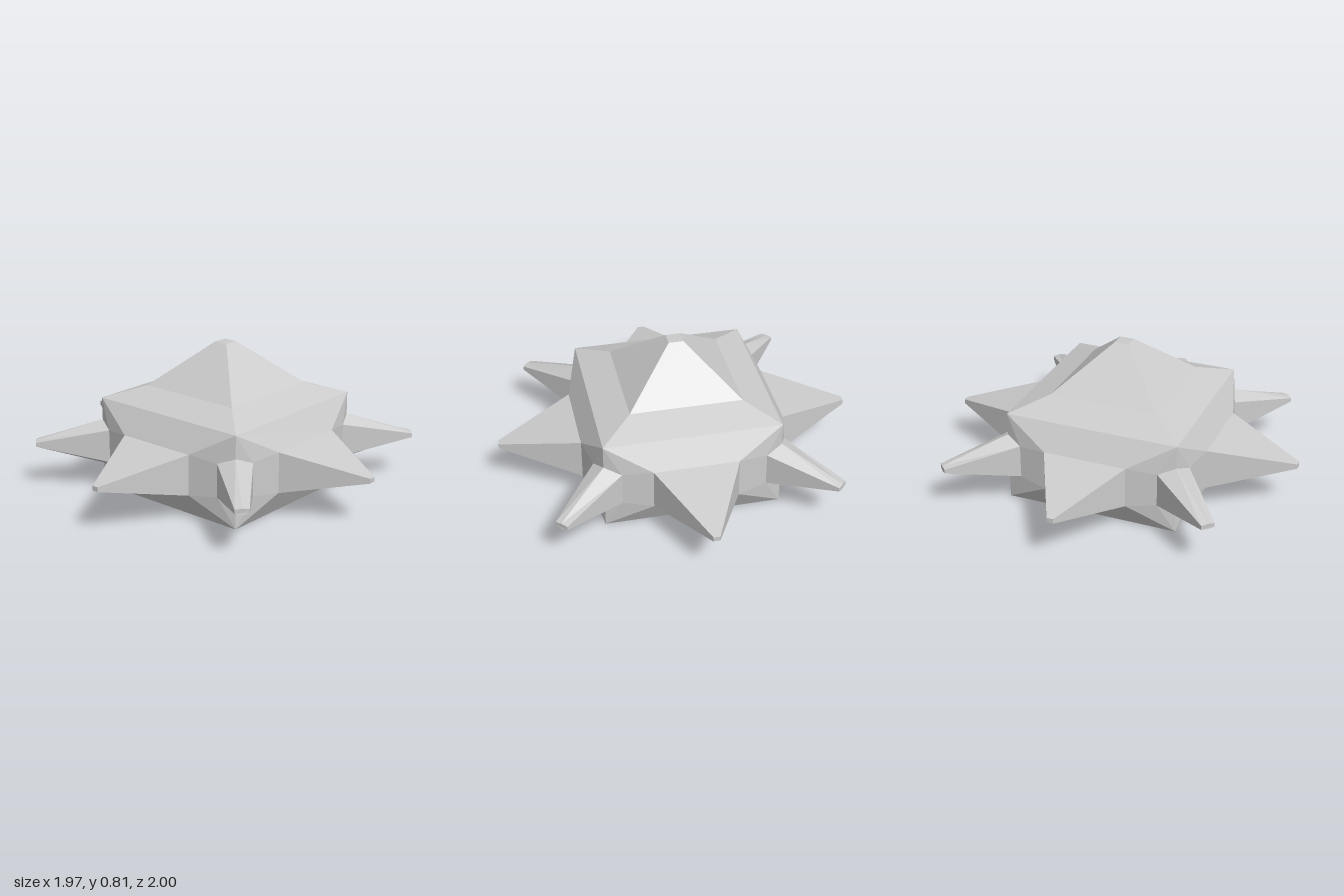
import * as THREE from 'three';

const MID = 0.257; // height of the spike axes

// Flat-shaded geometry from convex polygons (corners counter-clockwise from outside)
function polygons(list) {
  const pos = [];
  for (const p of list)
    for (let i = 1; i < p.length - 1; i++) pos.push(...p[0], ...p[i], ...p[i + 1]);
  const g = new THREE.BufferGeometry();
  g.setAttribute('position', new THREE.Float32BufferAttribute(pos, 3));
  g.computeVertexNormals();
  return g;
}

// Tapered spike from a base loop to a capped tip loop
function spike(base, tip) {
  const n = base.length;
  const sides = base.map((p, i) => [p, base[(i + 1) % n], tip[(i + 1) % n], tip[i]]);
  return polygons([...sides, tip]);
}

const flipX = ([x, y, z]) => [-x, y, z];
const rect = (x, y, z) => [[-x, MID - y, z], [x, MID - y, z], [x, MID + y, z], [-x, MID + y, z]];

export function createModel() {
  const model = new THREE.Group();
  const material = new THREE.MeshStandardMaterial({ color: 0xcccccc, flatShading: true });
  const add = (name, geometry, turn = 0) => {
    const mesh = new THREE.Mesh(geometry, material);
    mesh.name = name;
    mesh.rotation.y = turn * Math.PI / 2;
    model.add(mesh);
    return mesh;
  };

  // Wall corners: a = wide spike base, b and c = corner spike base, d = body corner
  const a0 = [0.23, 0.145, 0.56], a1 = [0.23, 0.37, 0.56];
  const b0 = [0.39, 0.165, 0.52], b1 = [0.39, 0.35, 0.52];
  const c0 = [0.48, 0.13, 0.48], c1 = [0.48, 0.385, 0.48];
  const d0 = [0.48, 0, 0.48], d1 = [0.48, 0.51, 0.48];
  const half = [[a0, b0, b1, a1], [a1, b1, d1], [b1, c1, d1], [a0, d0, b0], [b0, d0, c0]];
  const wall = polygons([
    ...half,
    ...half.map(p => p.map(flipX).reverse()),
    [a1, d1, flipX(d1), flipX(a1)],
    [flipX(a0), flipX(d0), d0, a0],
  ]);

  // Six-sided corner spike, symmetric about the diagonal
  const hexLoop = (ox, oz, oy, m, my) => [
    [ox, MID - oy, oz], [m, MID - my, m], [oz, MID - oy, ox],
    [oz, MID + oy, ox], [m, MID + my, m], [ox, MID + oy, oz],
  ];
  const cornerSpike = spike(
    hexLoop(0.39, 0.52, 0.0925, 0.48, 0.1275),
    hexLoop(0.715, 0.767, 0.011, 0.742, 0.016));

  // Four walls, each with a wide spike and a corner spike
  for (let i = 0; i < 4; i++) {
    add('wall', wall, i);
    const reach = i % 2 ? 0.985 : 1;
    add('wideSpike', spike([flipX(a0), a0, a1, flipX(a1)], rect(0.018, 0.013, reach)), i);
    add('cornerSpike', cornerSpike, i);
  }

  // Square roof: shallow skirt, then a blunt pyramid
  const frustum = (top, bottom, y0, y1, open) => new THREE.CylinderGeometry(
    top * Math.SQRT2, bottom * Math.SQRT2, y1 - y0, 4, 1, open, Math.PI / 4)
    .translate(0, (y0 + y1) / 2, 0);
  add('roofSkirt', frustum(0.305, 0.48, 0.51, 0.575, true));
  add('roofPeak', frustum(0.04, 0.305, 0.575, 0.815, false));

  // Flat underside
  add('base', polygons([[[-0.48, 0, -0.48], [0.48, 0, -0.48], [0.48, 0, 0.48], [-0.48, 0, 0.48]]]));

  return model;
}
